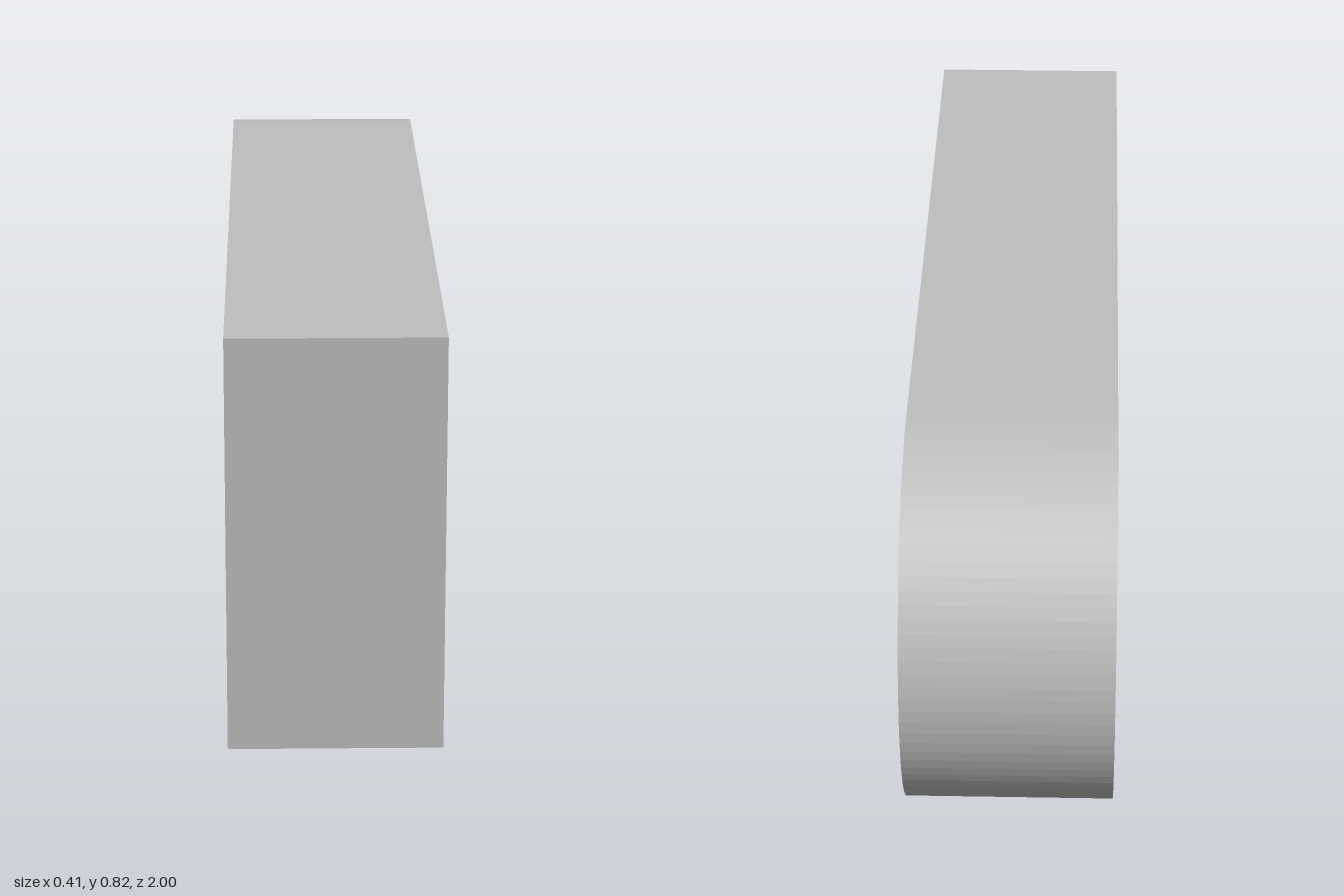
import * as THREE from 'three';

const HALF = 0.204;          // half thickness
const R = 0.408;             // half height = radius of the rounded end
const PIVOT = [0.592, R];    // centre of the rounded end (length, height)
const BOLTS = [[-0.796, 0.204], [-0.796, 0.612]];
const SEG = 48;

// Side outline, counter-clockwise, drawn as (length, height)
function outline() {
  const s = new THREE.Shape();
  s.moveTo(-1, 0);
  s.lineTo(PIVOT[0], 0);
  s.absarc(PIVOT[0], PIVOT[1], R, -Math.PI / 2, Math.PI / 2, false);
  s.lineTo(-1, 2 * R);
  s.closePath();
  return s;
}

// Flat side face with round holes
function sideFace(z, boltR, pivotR) {
  const s = outline();
  const hole = ([x, y], r) => {
    const p = new THREE.Path();
    p.absarc(x, y, r, 0, Math.PI * 2, true);
    s.holes.push(p);
  };
  BOLTS.forEach((b) => hole(b, boltR));
  hole(PIVOT, pivotR);
  const g = new THREE.ShapeGeometry(s, SEG / 2);
  g.translate(0, 0, z);
  if (z < 0) g.index.array.reverse();   // turn the far face outwards
  g.computeVertexNormals();
  return g;
}

// Band that follows the outline all the way round
function rimWall() {
  const pts = outline().getPoints(SEG / 2);
  const n = pts.length;
  const g = new THREE.PlaneGeometry(1, 1, n - 1, 1);
  const pos = g.attributes.position;
  for (let i = 0; i < pos.count; i++) {
    const p = pts[i % n];
    pos.setXYZ(i, p.x, p.y, i < n ? HALF : -HALF);
  }
  g.computeVertexNormals();
  return g;
}

// Hole lining turned from a [radius, depth position] profile, facing inwards
function lining([x, y], profile) {
  const g = new THREE.LatheGeometry(profile.map((p) => new THREE.Vector2(...p)), SEG);
  g.rotateX(Math.PI / 2);
  g.translate(x, y, 0);
  return g;
}

export function createModel() {
  const grey = new THREE.MeshStandardMaterial({ color: 0xbfbfbf, flatShading: true });
  grey.name = 'plain grey';
  const model = new THREE.Group();
  model.name = 'mountingArm';
  const add = (name, geometry) => {
    const m = new THREE.Mesh(geometry, grey);
    m.name = name;
    model.add(m);
  };

  add('leftFace', sideFace(HALF, 0.105, 0.286));
  add('rightFace', sideFace(-HALF, 0.163, 0.125));
  add('rimWall', rimWall());

  // Chamfered bearing seat with a smaller through hole
  add('bearingSeat', lining(PIVOT, [
    [0.286, HALF], [0.206, HALF - 0.08], [0.206, HALF - 0.225],
    [0.125, HALF - 0.225], [0.125, -HALF],
  ]));

  // Bolt holes, counterbored from the right side
  BOLTS.forEach((b, i) => add('boltHole' + (i + 1), lining(b, [
    [0.105, HALF], [0.105, -HALF + 0.163], [0.163, -HALF + 0.163], [0.163, -HALF],
  ])));

  model.rotation.y = Math.PI / 2;   // rounded end to the back
  return model;
}
